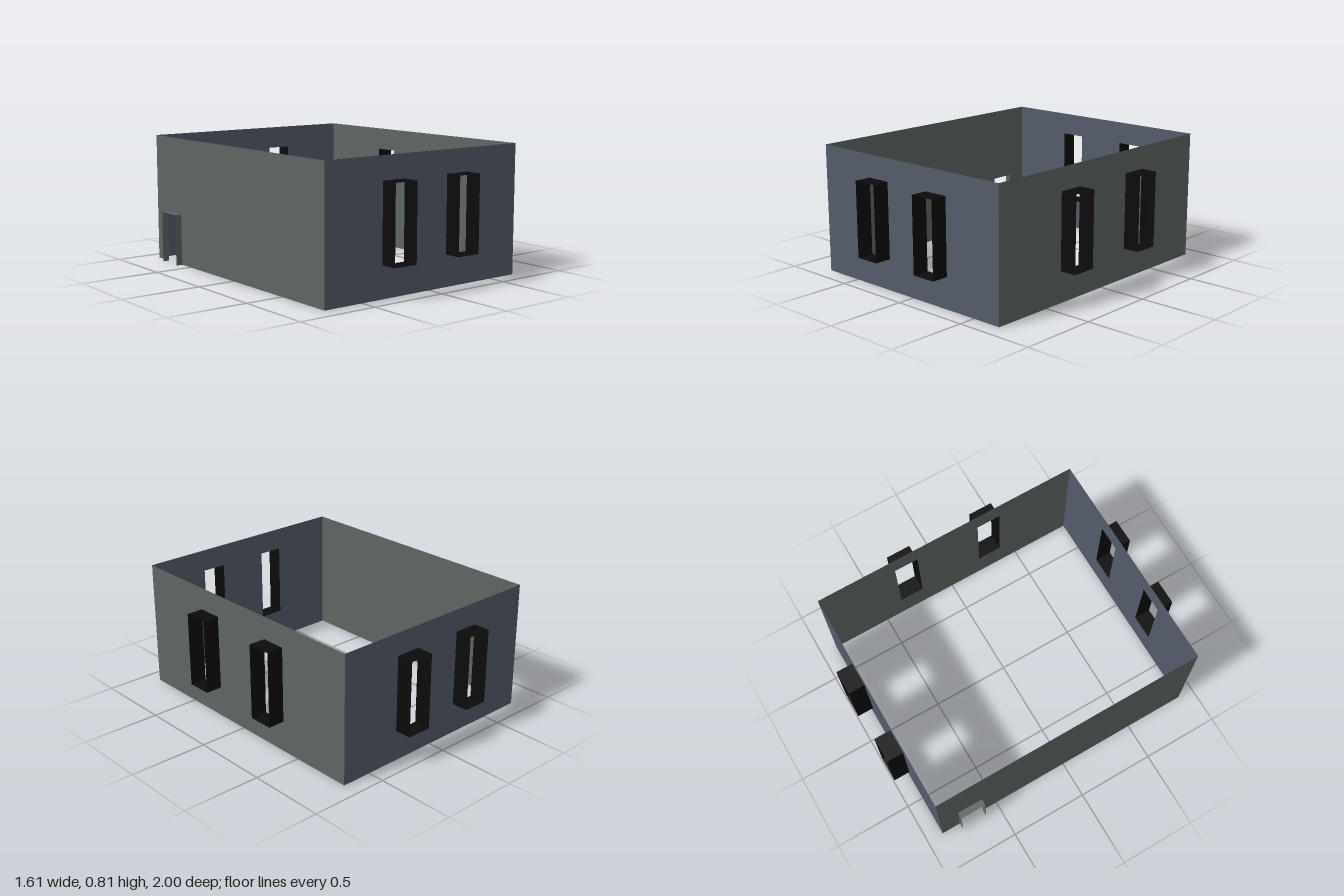
import * as THREE from 'three';

const HEIGHT = 0.81, HALF_X = 0.728, HALF_Z = 0.893, CENTRE_X = -0.034;

const material = (color) => new THREE.MeshStandardMaterial({ color, side: THREE.DoubleSide, flatShading: true });

function named(geometry, mat, name) {
  const mesh = new THREE.Mesh(geometry, mat);
  mesh.name = name;
  return mesh;
}

const corners = (o) => [[o.u - o.w / 2, o.y0], [o.u - o.w / 2, o.y1], [o.u + o.w / 2, o.y1], [o.u + o.w / 2, o.y0]];

// Thin reveal that follows the edge of an opening and stands out from the wall
function reveal(points, depth, closed) {
  const positions = [];
  const count = closed ? points.length : points.length - 1;
  for (let i = 0; i < count; i++) {
    const [ax, ay] = points[i];
    const [bx, by] = points[(i + 1) % points.length];
    positions.push(ax, ay, 0, bx, by, depth, bx, by, 0, ax, ay, 0, ax, ay, depth, bx, by, depth);
  }
  const geometry = new THREE.BufferGeometry();
  geometry.setAttribute('position', new THREE.Float32BufferAttribute(positions, 3));
  geometry.computeVertexNormals();
  return geometry;
}

// One wall with its openings; local +z points out of the room
function buildWall({ name, half, mat, frameMat, windows = [], door }) {
  const group = new THREE.Group();
  group.name = name;

  const outline = [[-half, 0]];
  if (door) outline.push(...corners(door));
  outline.push([half, 0], [half, HEIGHT], [-half, HEIGHT]);
  const shape = new THREE.Shape(outline.map(([x, y]) => new THREE.Vector2(x, y)));

  for (const opening of windows) {
    const points = corners(opening);
    shape.holes.push(new THREE.Path(points.map(([x, y]) => new THREE.Vector2(x, y))));
    group.add(named(reveal(points, 0.107, true), frameMat, 'windowFrame'));
  }
  if (door) group.add(named(reveal(corners(door), 0.042, false), mat, 'doorFrame'));

  group.add(named(new THREE.ShapeGeometry(shape), mat, 'wallPanel'));
  return group;
}

export function createModel() {
  const model = new THREE.Group();
  model.name = 'room';
  const blue = material(0x555b6b);
  const grey = material(0x5d6562);
  const black = material(0x0b0b0b);

  const windowPair = (u) => [-u, u].map((c) => ({ u: c, w: 0.159, y0: 0.195, y1: 0.668 }));
  const endWindows = windowPair(0.2425);
  const door = { u: -0.683, w: 0.167, y0: 0, y1: 0.325 };

  // Four walls around the open room
  const walls = [
    { name: 'frontWall', half: HALF_X, mat: blue, windows: endWindows, x: 0, z: HALF_Z, turn: 0 },
    { name: 'backWall', half: HALF_X, mat: blue, windows: endWindows, x: 0, z: -HALF_Z, turn: Math.PI },
    { name: 'windowSideWall', half: HALF_Z, mat: grey, windows: windowPair(0.297), x: HALF_X, z: 0, turn: Math.PI / 2 },
    { name: 'doorSideWall', half: HALF_Z, mat: grey, door, x: -HALF_X, z: 0, turn: -Math.PI / 2 },
  ];
  for (const spec of walls) {
    const wall = buildWall({ ...spec, frameMat: black });
    wall.position.set(CENTRE_X + spec.x, 0, spec.z);
    wall.rotation.y = spec.turn;
    model.add(wall);
  }
  return model;
}
